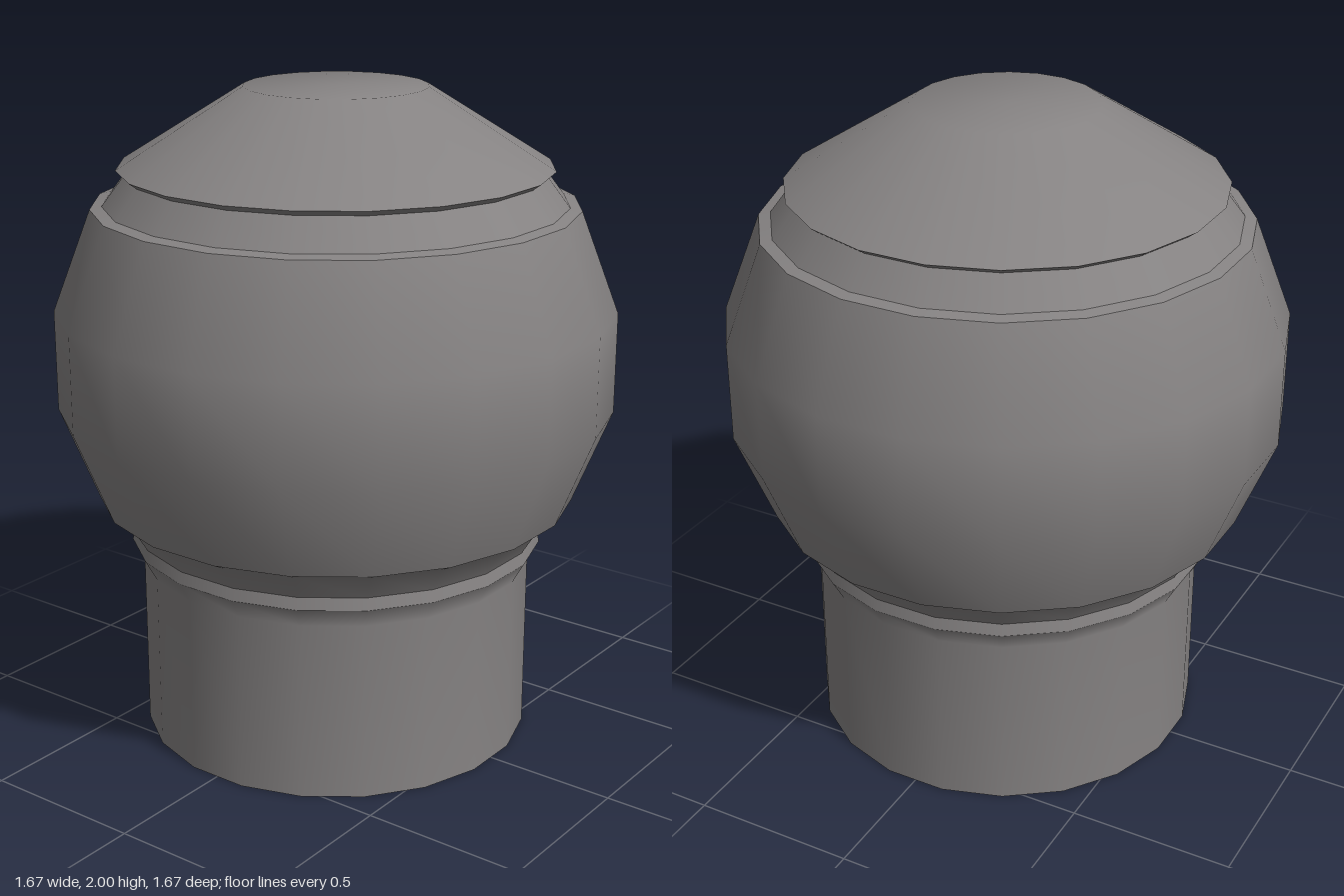
import * as THREE from 'three';

const SIDES = 20;
const OFFSET = Math.PI / SIDES;      // flats face the four axes
const SCALE = 1 / Math.cos(OFFSET);  // half width across flats -> corner radius

// One smooth-shaded ring of sheet metal; separate rings meet in sharp edges.
function shell(name, profile, material) {
  const points = profile.map(([halfWidth, y]) => new THREE.Vector2(halfWidth * SCALE, y));
  const mesh = new THREE.Mesh(new THREE.LatheGeometry(points, SIDES, OFFSET, Math.PI * 2), material);
  mesh.name = name;
  return mesh;
}

export function createModel() {
  const model = new THREE.Group();
  model.name = 'roofVent';
  const metal = new THREE.MeshStandardMaterial({ color: 0x868383, side: THREE.DoubleSide });

  const parts = {
    // open pipe with a small flare at its top
    neckPipe: [[0.593, 0], [0.593, 0.55], [0.627, 0.613]],
    neckBand: [[0.627, 0.613], [0.62, 0.65]],
    // flare up to the bulb
    lowerCollar: [[0.62, 0.65], [0.668, 0.73], [0.72, 0.757]],
    // bulbous head
    head: [[0.72, 0.757], [0.833, 1.045], [0.833, 1.35], [0.718, 1.652]],
    headLedge: [[0.718, 1.652], [0.683, 1.66]],
    upperCollar: [[0.683, 1.66], [0.617, 1.748]],
    // conical lid with a thin overhanging rim and flat top
    capRim: [[0.617, 1.748], [0.64, 1.765]],
    cap: [[0.64, 1.765], [0.27, 2], [0, 2]],
  };
  for (const [name, profile] of Object.entries(parts)) model.add(shell(name, profile, metal));
  return model;
}
